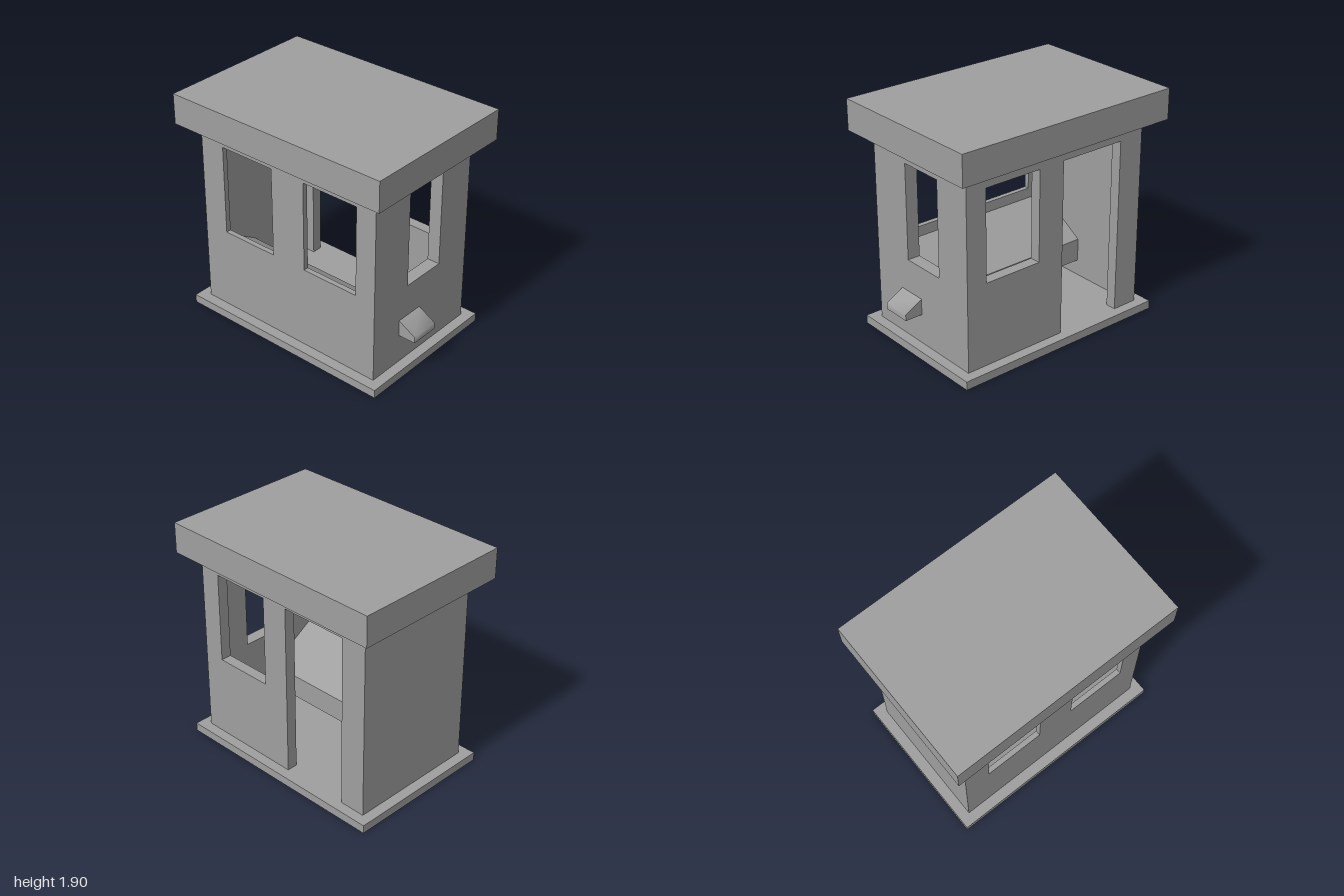
import * as THREE from 'three';
import { toCreasedNormals } from 'three/addons/utils/BufferGeometryUtils.js';

const material = new THREE.MeshStandardMaterial({ color: 0x9f9f9f });

const points = (list) => list.map(([a, b]) => new THREE.Vector2(a, b));
const rect = (a0, a1, y0, y1) => [[a0, y0], [a1, y0], [a1, y1], [a0, y1]];

export function createModel() {
  const group = new THREE.Group();

  function add(name, geometry) {
    const mesh = new THREE.Mesh(geometry, material);
    mesh.name = name;
    group.add(mesh);
  }

  function box(name, x0, x1, y0, y1, z0, z1) {
    const g = new THREE.BoxGeometry(x1 - x0, y1 - y0, z1 - z0);
    add(name, g.translate((x0 + x1) / 2, (y0 + y1) / 2, (z0 + z1) / 2));
  }

  function extrude(outline, holes, depth) {
    const shape = new THREE.Shape(points(outline));
    for (const h of holes) shape.holes.push(new THREE.Path(points(h)));
    return new THREE.ExtrudeGeometry(shape, { depth, bevelEnabled: false });
  }

  // Outline in (x, y), extruded from z0 to z1
  const alongZ = (outline, holes, z0, z1) =>
    extrude(outline, holes, z1 - z0).translate(0, 0, z0);

  // Outline in (z, y), extruded from x0 to x1; reversing keeps the mirrored outline counter-clockwise
  function alongX(outline, holes, x0, x1) {
    const flip = (list) => list.map(([z, y]) => [-z, y]).reverse();
    return extrude(flip(outline), holes.map(flip), x1 - x0)
      .rotateY(Math.PI / 2).translate(x0, 0, 0);
  }

  const floor = 0.07, eaves = 1.648, back = -0.862, front = 0.85, innerFront = 0.743;
  const sill = 0.762, head = 1.516;

  // Base slab and thick flat roof
  box('base', -0.64, 0.638, 0, floor, -0.95, 0.935);
  box('roof', -0.688, 0.688, eaves, 1.9, -1, 0.983);

  // Side wall with a doorway and one window
  const frontWindow = rect(0.17, 0.672, sill, head);
  add('doorWall', alongX([
    [back, floor], [-0.64, floor], [-0.64, 1.52], [-0.062, 1.52], [-0.062, floor],
    [front, floor], [front, eaves], [back, eaves],
  ], [frontWindow], 0.463, 0.553));

  // Opposite side wall with two windows
  add('windowWall', alongX(rect(back, front, floor, eaves),
    [frontWindow, rect(-0.64, -0.143, sill, head)], -0.553, -0.51));

  // Front wall with a tall window, and plain back wall
  add('frontWall', alongZ(rect(-0.51, 0.463, floor, eaves),
    [rect(-0.165, 0.218, 0.725, head)], innerFront, front));
  box('backWall', -0.51, 0.463, floor, eaves, back, -0.81);

  // Sloping desk along the inside of the window wall
  add('desk', alongZ([[-0.51, 0.205], [-0.07, 0.205], [-0.07, 0.4], [-0.51, 0.675]],
    [], -0.81, innerFront));

  // Small wedge on the front wall, shaded smoothly from slope to face
  const wedge = alongX([[front, 0.318], [1, 0.318], [1, 0.37], [front, 0.453]], [], -0.255, -0.01);
  add('frontBox', toCreasedNormals(wedge, 1.2));

  return group;
}
